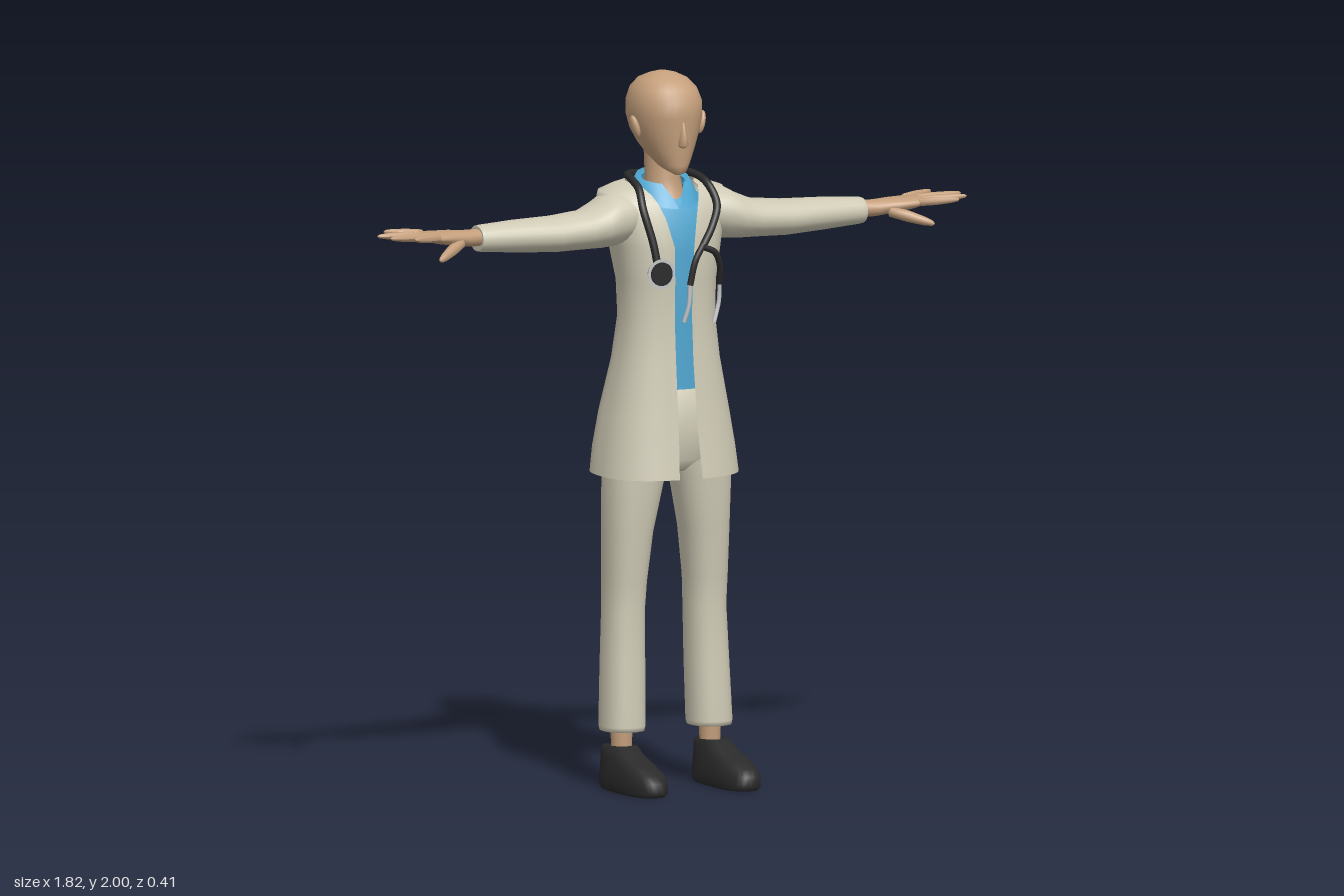
import * as THREE from 'three';
import { mergeVertices } from 'three/addons/utils/BufferGeometryUtils.js';

const paint = (name, color, side = THREE.FrontSide) => {
  const m = new THREE.MeshStandardMaterial({ color, side });
  m.name = name;
  return m;
};
const V = (x, y, z) => new THREE.Vector3(x, y, z);

// Stacked rounded cross-sections. Row: [yFront, yBack, halfWidth, zFront, zBack, frontGap, centreX]
function loft(rows, { p = 0.85, n = 32, capLow = false, capHigh = false } = {}) {
  const pos = [], idx = [];
  const pw = (v) => Math.sign(v) * Math.abs(v) ** p;
  const point = (r) => {
    const z = (r[3] + r[4]) / 2, y = (r[0] + r[1]) / 2;
    return [y, y, 0, z, z, 0, r[6]];
  };
  const all = [...rows];
  if (capLow) all.unshift(point(rows[0]));
  if (capHigh) all.push(point(rows[rows.length - 1]));
  for (const [yf, yb, w, zf, zb, gap = 0, cx = 0] of all) {
    const t0 = gap ? Math.asin((gap / w) ** (1 / p)) : 0;
    for (let j = 0; j <= n; j++) {
      const t = t0 + (2 * Math.PI - 2 * t0) * j / n;
      const c = j === n && !gap ? 1 : pw(Math.cos(t)), s = j === n && !gap ? 0 : pw(Math.sin(t));
      pos.push(cx + w * s, (yf + yb) / 2 + (yf - yb) / 2 * c, (zf + zb) / 2 + (zf - zb) / 2 * c);
    }
  }
  for (let i = 0; i < all.length - 1; i++)
    for (let j = 0; j < n; j++) {
      const a = i * (n + 1) + j, c = a + n + 1;
      if (all[i][2] > 0) idx.push(a, a + 1, c + 1);
      if (all[i + 1][2] > 0) idx.push(a, c + 1, c);
      else if (all[i][2] > 0) continue;
    }
  let g = new THREE.BufferGeometry();
  g.setAttribute('position', new THREE.Float32BufferAttribute(pos, 3));
  g.setIndex(idx);
  g = mergeVertices(g, 1e-5);
  g.computeVertexNormals();
  return g;
}

// Limb along +x. Row: [x, centreY, halfHeight, zFront, zBack]
const armLoft = (rows, opts) =>
  loft(rows.map(([x, y, h, zf, zb]) => [x, x, h, zf, zb, 0, -y]), opts).rotateZ(-Math.PI / 2);

// Tapered finger between two points
function finger(a, b, r) {
  const L = a.distanceTo(b);
  const profile = [[0.001, 0], [r, 0.01], [r, L * 0.45], [r * 0.75, L * 0.8], [r * 0.45, L * 0.96], [0.0005, L]];
  const g = new THREE.LatheGeometry(profile.map((q) => new THREE.Vector2(...q)), 10);
  g.applyQuaternion(new THREE.Quaternion().setFromUnitVectors(V(0, 1, 0), b.clone().sub(a).normalize()));
  return g.translate(a.x, a.y, a.z);
}

function mirrored(g) {
  const m = g.clone().scale(-1, 1, 1), a = m.index.array;
  for (let i = 0; i < a.length; i += 3) [a[i], a[i + 1]] = [a[i + 1], a[i]];
  m.computeVertexNormals();
  return m;
}

export function createModel() {
  const skin = paint('skin', 0xc49f7c);
  const cloth = paint('coat cloth', 0xcfcab5);
  const coatCloth = paint('open coat cloth', 0xcfcab5, THREE.DoubleSide);
  const blue = paint('shirt blue', 0x50a6d0, THREE.DoubleSide);
  const black = paint('black', 0x2a2a2a);
  const silver = paint('silver', 0xc4c4c6);

  const model = new THREE.Group();
  model.name = 'figure';
  const add = (name, g, mat) => {
    const m = new THREE.Mesh(g, mat);
    m.name = name;
    model.add(m);
  };
  const pair = (name, g, mat) => {
    add(name + 'Left', g, mat);
    add(name + 'Right', mirrored(g), mat);
  };

  // Head, nose, ears and neck
  add('head', loft([
    [1.718, 1.765, 0.022, 0.045, -0.03], [1.724, 1.768, 0.038, 0.061, -0.09],
    [1.745, 1.785, 0.052, 0.066, -0.118], [1.785, 1.81, 0.071, 0.069, -0.14],
    [1.83, 1.84, 0.088, 0.072, -0.156], [1.88, 1.88, 0.099, 0.077, -0.165],
    [1.92, 1.92, 0.099, 0.076, -0.164], [1.955, 1.955, 0.088, 0.056, -0.15],
    [1.98, 1.98, 0.067, 0.02, -0.123], [1.994, 1.994, 0.038, -0.015, -0.088],
    [2, 2, 0.012, -0.04, -0.065],
  ], { p: 0.92, capLow: true, capHigh: true }), skin);
  add('nose', loft([
    [1.798, 1.798, 0.009, 0.08, 0.05], [1.806, 1.806, 0.014, 0.093, 0.05],
    [1.83, 1.83, 0.01, 0.087, 0.05], [1.87, 1.87, 0.006, 0.076, 0.05],
  ], { p: 1, n: 12, capLow: true, capHigh: true }), skin);
  pair('ear', new THREE.SphereGeometry(1, 14, 10).scale(0.011, 0.033, 0.017)
    .rotateZ(-0.25).rotateX(-0.15).translate(0.103, 1.853, -0.018), skin);
  add('neck', loft([
    [1.6, 1.6, 0.06, 0.045, -0.11], [1.65, 1.67, 0.054, 0.02, -0.108],
    [1.7, 1.72, 0.049, -0.002, -0.105], [1.79, 1.8, 0.05, 0, -0.112],
  ], { p: 1 }), skin);

  // Shirt and its open collar
  add('shirt', loft([
    [1.12, 1.12, 0.138, 0.068, -0.13], [1.3, 1.3, 0.122, 0.06, -0.12],
    [1.5, 1.5, 0.135, 0.07, -0.15], [1.6, 1.6, 0.15, 0.05, -0.15],
    [1.645, 1.66, 0.11, 0.026, -0.138], [1.66, 1.685, 0.07, 0.0, -0.12],
  ]), blue);
  add('shirtCollar', loft([
    [1.625, 1.685, 0.094, 0.056, -0.135, 0.004], [1.655, 1.705, 0.088, 0.036, -0.13, 0.014],
    [1.69, 1.722, 0.074, 0.018, -0.12, 0.034], [1.685, 1.71, 0.06, 0.012, -0.112, 0.03],
  ], { p: 1 }), blue);

  // Long coat, open at the front
  add('coat', loft([
    [0.875, 0.882, 0.206, 0.123, -0.207, 0.036], [0.95, 0.95, 0.198, 0.113, -0.203, 0.032],
    [1.05, 1.05, 0.181, 0.1, -0.188, 0.029], [1.2, 1.2, 0.151, 0.083, -0.152, 0.027],
    [1.32, 1.32, 0.136, 0.075, -0.135, 0.027], [1.42, 1.42, 0.139, 0.078, -0.142, 0.027],
    [1.52, 1.52, 0.156, 0.083, -0.163, 0.03], [1.6, 1.6, 0.177, 0.064, -0.167, 0.048],
    [1.642, 1.65, 0.191, 0.045, -0.164, 0.063], [1.665, 1.674, 0.184, 0.026, -0.157, 0.074],
    [1.679, 1.688, 0.14, 0.008, -0.148, 0.084], [1.686, 1.698, 0.1, -0.012, -0.132, 0.086],
  ], { p: 0.8, n: 44 }), coatCloth);
  pair('sleeve', armLoft([
    [0.12, 1.6, 0.07, 0.04, -0.135], [0.17, 1.596, 0.075, 0.052, -0.143],
    [0.21, 1.584, 0.065, 0.056, -0.132], [0.26, 1.574, 0.054, 0.055, -0.114],
    [0.36, 1.569, 0.05, 0.056, -0.101], [0.48, 1.571, 0.045, 0.042, -0.084],
    [0.588, 1.573, 0.038, 0.031, -0.058], [0.6, 1.573, 0.036, 0.029, -0.056],
    [0.6, 1.573, 0.033, 0.026, -0.053],
  ], { p: 0.95, n: 24, capHigh: true }), cloth);

  // Hands with four fingers and a thumb
  pair('palm', armLoft([
    [0.58, 1.576, 0.024, 0.018, -0.045], [0.64, 1.577, 0.023, 0.026, -0.046],
    [0.69, 1.583, 0.021, 0.045, -0.052], [0.74, 1.588, 0.017, 0.058, -0.056],
    [0.77, 1.592, 0.013, 0.056, -0.054], [0.785, 1.593, 0.007, 0.045, -0.045],
  ], { p: 0.9, n: 20, capHigh: true }), skin);
  const tips = [[0.85, 0.098], [0.9, 0.046], [0.912, -0.012], [0.855, -0.085]];
  tips.forEach(([x, z], i) =>
    pair('finger' + (i + 1), finger(V(0.745, 1.592, 0.045 - i * 0.03), V(x, 1.6, z), 0.012), skin));
  pair('thumb', finger(V(0.665, 1.572, 0.02), V(0.772, 1.536, 0.1), 0.016), skin);

  // Trousers
  add('hips', loft([
    [0.885, 0.885, 0.05, 0.03, -0.08], [0.92, 0.92, 0.14, 0.062, -0.12],
    [1, 1, 0.16, 0.068, -0.145], [1.13, 1.13, 0.135, 0.062, -0.125],
  ], { capLow: true, capHigh: true }), cloth);
  pair('trouserLeg', loft([
    [0.162, 0.162, 0.052, 0.024, -0.094, 0, 0.136], [0.162, 0.162, 0.058, 0.031, -0.1, 0, 0.136],
    [0.175, 0.175, 0.061, 0.034, -0.103, 0, 0.136], [0.35, 0.35, 0.059, 0.026, -0.108, 0, 0.131],
    [0.5, 0.5, 0.056, 0.021, -0.111, 0, 0.127], [0.58, 0.58, 0.058, 0.03, -0.112, 0, 0.126],
    [0.72, 0.72, 0.067, 0.043, -0.115, 0, 0.119], [0.87, 0.87, 0.083, 0.06, -0.118, 0, 0.104],
    [0.97, 0.97, 0.085, 0.062, -0.13, 0, 0.088],
  ], { capLow: true }), cloth);

  // Ankles and shoes
  pair('ankle', new THREE.CylinderGeometry(0.032, 0.027, 0.12, 16).translate(0.138, 0.13, -0.033), skin);
  pair('shoe', loft([
    [0, 0, 0.054, 0.195, -0.094, 0, 0.145], [0.01, 0.01, 0.06, 0.206, -0.1, 0, 0.145],
    [0.04, 0.04, 0.059, 0.206, -0.1, 0, 0.145], [0.06, 0.07, 0.053, 0.187, -0.101, 0, 0.145],
    [0.08, 0.09, 0.048, 0.135, -0.101, 0, 0.145], [0.098, 0.105, 0.043, 0.075, -0.1, 0, 0.145],
    [0.125, 0.117, 0.037, 0.032, -0.096, 0, 0.143], [0.121, 0.112, 0.03, 0.02, -0.086, 0, 0.143],
  ], { p: 0.75, capLow: true, capHigh: true }), black);

  // Stethoscope: neck loop, forked tubes, ear tips and chest piece
  const tube = (name, pts, r, mat, seg = 20) => add(name,
    new THREE.TubeGeometry(new THREE.CatmullRomCurve3(pts.map((q) => V(...q))), seg, r, 10), mat);
  const half = [[0.115, 1.63, 0.054], [0.108, 1.682, 0.014], [0.1, 1.703, -0.05], [0.075, 1.706, -0.115]];
  tube('stethoscopeLoop', [
    [-0.087, 1.465, 0.092], [-0.098, 1.54, 0.08], ...half.map(([x, y, z]) => [-x, y, z]),
    [0, 1.7, -0.152], ...half.slice().reverse(), [0.088, 1.575, 0.079], [0.054, 1.525, 0.092],
  ], 0.011, black, 90);
  tube('forkInner', [[0.06, 1.535, 0.09], [0.027, 1.485, 0.097], [0.01, 1.415, 0.095]], 0.009, black);
  tube('forkOuter', [[0.05, 1.52, 0.092], [0.088, 1.503, 0.093], [0.11, 1.462, 0.082], [0.119, 1.41, 0.062]], 0.009, black);
  tube('earTubeInner', [[0.01, 1.42, 0.095], [0.006, 1.36, 0.096], [-0.006, 1.312, 0.09]], 0.006, silver);
  tube('earTubeOuter', [[0.119, 1.415, 0.062], [0.118, 1.36, 0.06], [0.1, 1.302, 0.066]], 0.006, silver);
  const disc = (r1, r2, d, z) =>
    new THREE.CylinderGeometry(r1, r2, d, 28).rotateX(Math.PI / 2).translate(-0.088, 1.455, z);
  add('chestPiece', disc(0.042, 0.03, 0.026, 0.099), silver);
  add('chestPieceFace', disc(0.033, 0.033, 0.006, 0.113), black);

  return model;
}
